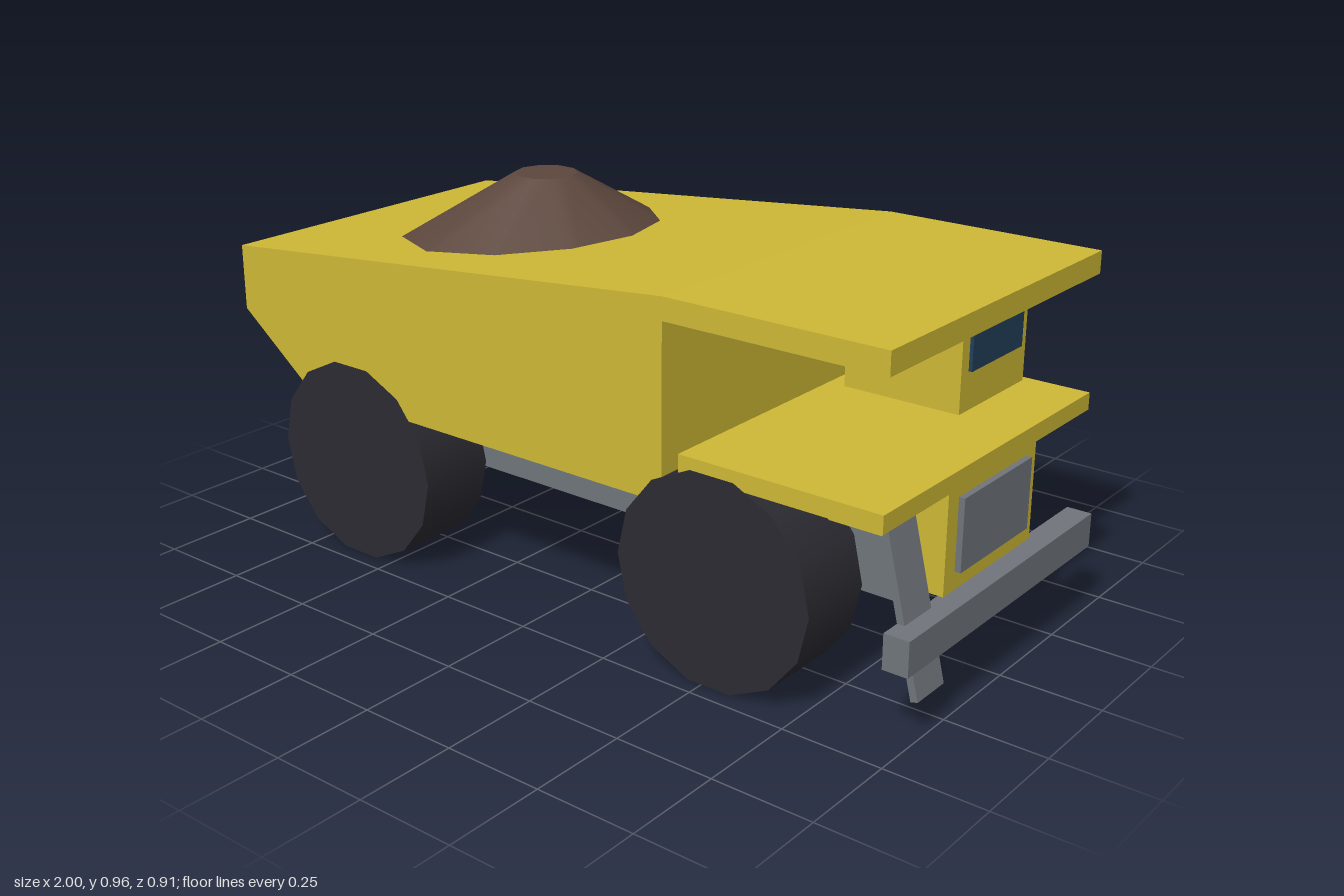
import * as THREE from 'three';

const paint = (name, color) => Object.assign(new THREE.MeshStandardMaterial({ color }), { name });

export function createModel() {
  const yellow = paint('yellow paint', 0xceb835);
  const steel = paint('grey steel', 0x70757b);
  const rubber = paint('black rubber', 0x2b2b32);
  const glass = paint('dark blue glass', 0x21405a);
  const earth = paint('brown earth', 0x5c473d);
  const model = new THREE.Group();
  model.name = 'miningTruck';

  const add = (name, geometry, material) => {
    const mesh = new THREE.Mesh(geometry, material);
    mesh.name = name;
    model.add(mesh);
    return mesh;
  };
  // Box given by its limits on each axis
  const box = (name, material, [x0, x1], [y0, y1], [z0, z1]) => {
    const mesh = add(name, new THREE.BoxGeometry(x1 - x0, y1 - y0, z1 - z0), material);
    mesh.position.set((x0 + x1) / 2, (y0 + y1) / 2, (z0 + z1) / 2);
    return mesh;
  };

  // Dump body with a canopy reaching over the cab
  const profile = new THREE.Shape([
    [-1, 0.755], [-1, 0.585], [-0.77, 0.41], [0.385, 0.41], [0.385, 0.83],
    [0.95, 0.83], [0.95, 0.885], [0.385, 0.885],
  ].map(([x, y]) => new THREE.Vector2(x, y)));
  const bodyGeometry = new THREE.ExtrudeGeometry(profile, { depth: 0.91, bevelEnabled: false });
  bodyGeometry.translate(0, 0, -0.455);
  add('dumpBody', bodyGeometry, yellow);

  // Heap of earth, its foot sunk into the body
  const heap = add('earthHeap', new THREE.CylinderGeometry(0.08, 0.42, 0.2, 10, 1, false, Math.PI / 2), earth);
  heap.position.set(-0.35, 0.86, 0);

  // Chassis, engine housing and deck
  box('chassis', steel, [-0.8, 0.865], [0.21, 0.41], [-0.196, 0.196]);
  box('engineHousing', yellow, [0.43, 0.95], [0.255, 0.5], [-0.194, 0.194]);
  box('deckSupport', yellow, [0.43, 0.865], [0.41, 0.5], [-0.3, 0.3]);
  box('deck', yellow, [0.43, 0.95], [0.495, 0.538], [-0.455, 0.455]);
  box('radiatorGrille', steel, [0.945, 0.965], [0.3, 0.475], [-0.15, 0.15]);

  // Cab with front and side windows
  box('cab', yellow, [0.475, 0.785], [0.535, 0.81], [-0.434, -0.13]);
  box('frontWindow', glass, [0.785, 0.794], [0.635, 0.776], [-0.4, -0.163]);
  box('sideWindow', glass, [0.495, 0.768], [0.635, 0.776], [-0.443, -0.434]);

  // Bumper and leaning ladder
  box('bumper', steel, [0.937, 1], [0.17, 0.255], [-0.413, 0.413]);
  const ladder = add('ladder', new THREE.BoxGeometry(0.018, 0.42, 0.108), steel);
  ladder.position.set(0.937, 0.29, 0.305);
  ladder.rotation.z = 0.24;

  // Four wheels, flat on the ground
  const wheelGeometry = new THREE.CylinderGeometry(0.261, 0.261, 0.206, 14, 1, false, Math.PI / 2);
  wheelGeometry.rotateX(Math.PI / 2);
  for (const [end, x] of [['front', 0.52], ['rear', -0.61]]) {
    for (const side of [-1, 1]) {
      const wheel = add(`${end}Wheel`, wheelGeometry, rubber);
      wheel.position.set(x, 0.2545, side * 0.353);
    }
  }
  return model;
}
